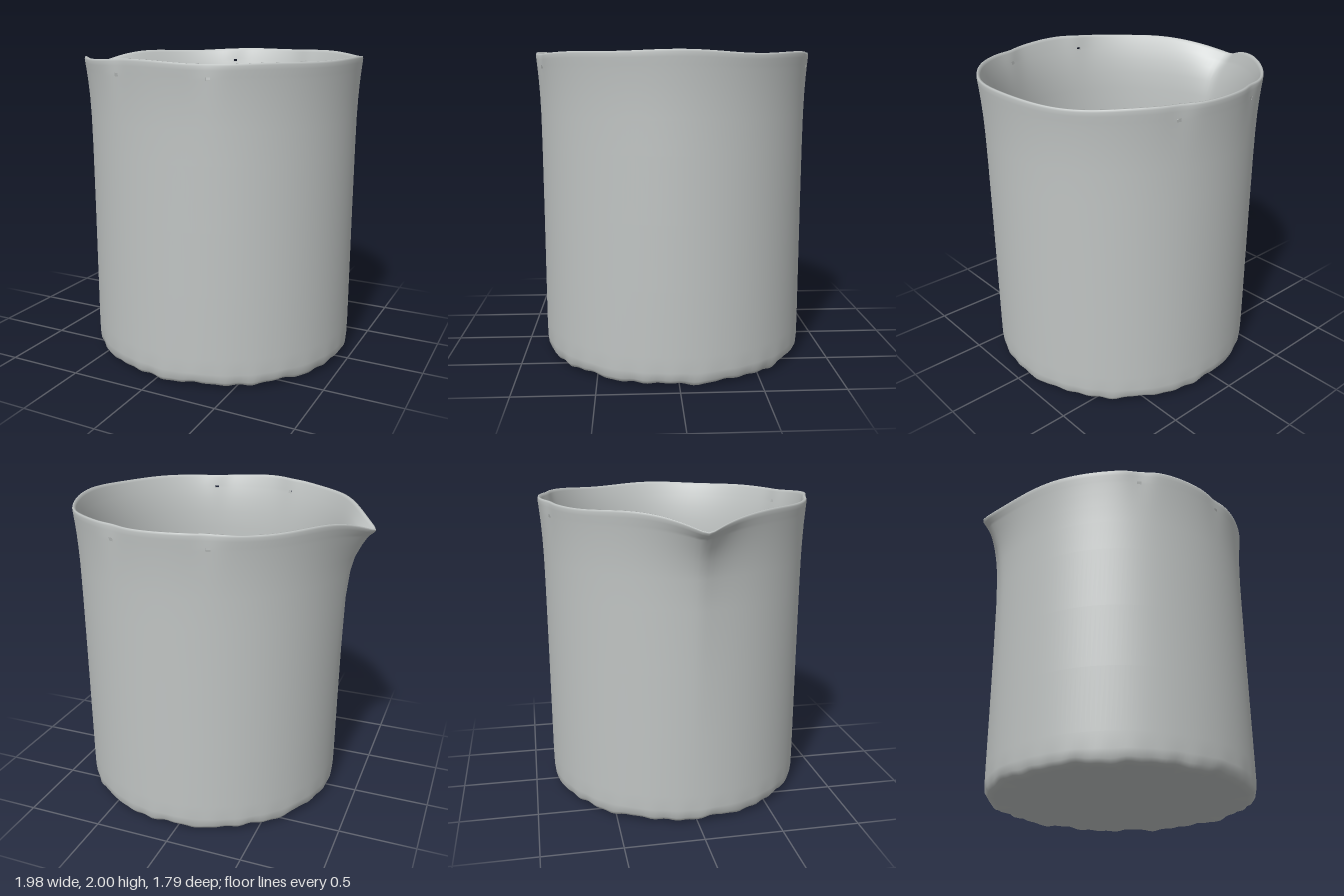
import * as THREE from 'three';

const SEGMENTS = 192;
const CENTRE_X = 0.07;

// Wall section, from under the base, up the outside, over the lip and down to the floor:
// [radius, height, how strongly the spout and lip shaping acts, base ripple]
const PROFILE = [
  [0, 0.02, 0, 0], [0.4, 0.018, 0, 0.2], [0.72, 0.014, 0, 0.6], [0.81, 0.014, 0, 1],
  [0.85, 0.026, 0, 1], [0.868, 0.05, 0, 0.8], [0.874, 0.1, 0, 0.3], [0.875, 0.2, 0, 0],
  [0.875, 0.6, 0.02, 0], [0.875, 1.0, 0.06, 0], [0.876, 1.4, 0.14, 0], [0.878, 1.6, 0.26, 0],
  [0.882, 1.72, 0.4, 0], [0.888, 1.82, 0.6, 0], [0.894, 1.89, 0.75, 0], [0.896, 1.91, 0.8, 0],
  [0.9, 1.95, 0.92, 0], [0.902, 1.975, 0.98, 0], [0.898, 1.988, 1, 0], [0.888, 1.988, 1, 0],
  [0.878, 1.97, 0.96, 0], [0.862, 1.91, 0.8, 0], [0.856, 1.89, 0.75, 0], [0.838, 1.82, 0.55, 0],
  [0.822, 1.72, 0.35, 0], [0.812, 1.6, 0.2, 0], [0.806, 1.4, 0.08, 0], [0.804, 1.0, 0, 0],
  [0.804, 0.3, 0, 0], [0.797, 0.18, 0, 0], [0.78, 0.12, 0, 0], [0.75, 0.092, 0, 0],
  [0.71, 0.085, 0, 0], [0.4, 0.085, 0, 0], [0, 0.085, 0, 0],
];

// Four small dents in the lip, mirrored front to back
const DENTS = [];
for (const side of [-1, 1]) for (const offset of [-0.33, 0.33]) DENTS.push(side * (Math.PI / 2 + offset));

function shapePoint([radius, height, lip, ripple], t) {
  // Pouring spout towards -x, drawn out to a point and dipping at its tip
  const fromSpout = Math.PI - Math.abs(t);
  const spout = Math.exp(-(Math.hypot(fromSpout, 0.03) - 0.03) / 0.2);
  let r = radius + 0.163 * spout * lip;
  let y = height - 0.105 * spout * lip * lip;

  // Slightly uneven lip
  y += lip ** 4 * (0.006 * Math.sin(4 * t + 0.8) + 0.005 * Math.sin(7 * t + 2) * (1 - spout));
  for (const d of DENTS) r -= 0.014 * lip ** 3 * Math.exp(-(((t - d) / 0.09) ** 2));

  // Crinkled lower edge
  const wave = Math.sin(11 * t) + 0.7 * Math.sin(19 * t + 1) + 0.6 * Math.sin(37 * t + 2);
  y += 0.006 * ripple * wave;
  r += 0.003 * ripple * Math.sin(29 * t);
  return [CENTRE_X + r * 1.008 * Math.cos(t), Math.max(0, y), r * 0.992 * Math.sin(t)];
}

function vesselGeometry() {
  const positions = [];
  const indices = [];
  const step = (2 * Math.PI) / SEGMENTS;
  for (const row of PROFILE) {
    for (let j = 0; j < SEGMENTS; j++) positions.push(...shapePoint(row, j * step - Math.PI));
  }
  // Pinholes through the wall at the dents
  const isHole = (i, j) => {
    if (PROFILE[i][1] + PROFILE[i + 1][1] !== 1.89 + 1.91) return false;
    return DENTS.some((d) => Math.floor((d + Math.PI) / step) === j);
  };
  for (let i = 0; i < PROFILE.length - 1; i++) {
    for (let j = 0; j < SEGMENTS; j++) {
      if (isHole(i, j)) continue;
      const next = (j + 1) % SEGMENTS;
      const a = i * SEGMENTS + j, b = i * SEGMENTS + next;
      const c = a + SEGMENTS, d = b + SEGMENTS;
      indices.push(a, c, b, b, c, d);
    }
  }
  const geometry = new THREE.BufferGeometry();
  geometry.setAttribute('position', new THREE.Float32BufferAttribute(positions, 3));
  geometry.setIndex(indices);
  geometry.computeVertexNormals();
  return geometry;
}

export function createModel() {
  const group = new THREE.Group();
  group.name = 'beaker';
  const grey = new THREE.MeshStandardMaterial({ color: 0xc0c4c3, side: THREE.DoubleSide });
  grey.name = 'light grey';
  const vessel = new THREE.Mesh(vesselGeometry(), grey);
  vessel.name = 'vesselWithSpout';
  group.add(vessel);
  return group;
}
